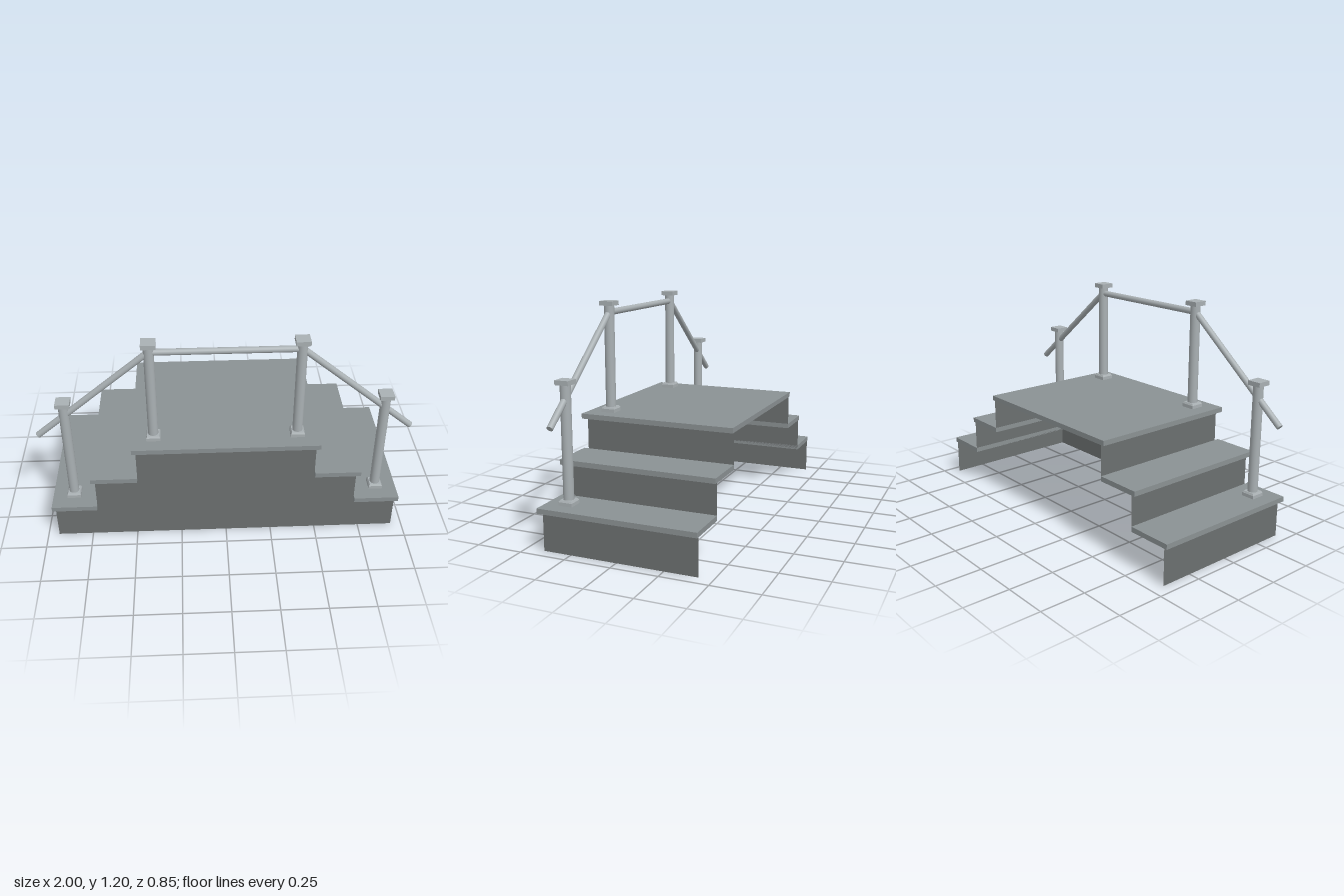
import * as THREE from 'three';

export function createModel() {
  const model = new THREE.Group();
  const mat = (name, color, side = THREE.FrontSide) => {
    const m = new THREE.MeshStandardMaterial({ color, side });
    m.name = name;
    return m;
  };
  const concrete = mat('dark grey panel', 0x6b6f6f, THREE.DoubleSide);
  const treadGrey = mat('grey tread', 0x8a9193);
  const metal = mat('light grey metal', 0xa9b0b3);

  const add = (name, geo, material, x = 0, y = 0, z = 0, parent = model) => {
    const m = new THREE.Mesh(geo, material);
    m.name = name;
    m.position.set(x, y, z);
    parent.add(m);
    return m;
  };

  const front = 0.4, back = -0.426, lip = 0.426, thick = 0.027;
  // each step: riser position, tread outer edge, tread inner edge, tread top
  const steps = [
    { riser: 0.94, outer: 0.956, inner: 0.71, top: 0.222 },
    { riser: 0.71, outer: 0.73, inner: 0.48, top: 0.412 },
    { riser: 0.48, outer: 0.5, inner: 0, top: 0.604 },
  ];

  // stepped front panel, an open sheet
  const right = [];
  let y = 0;
  for (const s of steps) {
    right.push([s.riser, y], [s.riser, s.top - thick]);
    y = s.top - thick;
  }
  const left = right.map(([px, py]) => [-px, py]).reverse();
  const outline = new THREE.Shape([...right, ...left].map(([px, py]) => new THREE.Vector2(px, py)));
  add('frontPanel', new THREE.ShapeGeometry(outline), concrete, 0, 0, front);

  // risers and side treads, mirrored; back and underside stay open
  for (const side of [1, -1]) {
    let base = 0;
    steps.forEach((s, i) => {
      const h = s.top - thick - base;
      const riser = add('riser', new THREE.PlaneGeometry(front - back, h), concrete,
        side * s.riser, base + h / 2, (front + back) / 2);
      riser.rotation.y = side * Math.PI / 2;
      if (i < 2) {
        add('tread', new THREE.BoxGeometry(s.outer - s.inner, thick, lip - back), treadGrey,
          side * (s.outer + s.inner) / 2, s.top - thick / 2, (lip + back) / 2);
      }
      base = s.top - thick;
    });
  }
  add('platform', new THREE.BoxGeometry(1, thick, lip - back), treadGrey,
    0, 0.604 - thick / 2, (lip + back) / 2);

  // square post foot with sloped top edges
  const railZ = 0.311;
  const foot = new THREE.CylinderGeometry(0.045, 0.053, 0.01, 4).toNonIndexed();
  foot.rotateY(Math.PI / 4);
  foot.computeVertexNormals();

  const addPost = (x, bottom, top) => {
    const post = new THREE.Group();
    post.name = 'post';
    post.position.set(x, bottom, railZ);
    const h = top - bottom;
    add('postShaft', new THREE.CylinderGeometry(0.027, 0.027, h - 0.02, 24), metal, 0, h / 2, 0, post);
    add('postCap', new THREE.BoxGeometry(0.075, 0.024, 0.075), metal, 0, h - 0.012, 0, post);
    add('postFoot', new THREE.BoxGeometry(0.075, 0.018, 0.075), metal, 0, 0.009, 0, post);
    add('postFootBevel', foot, metal, 0, 0.023, 0, post);
    model.add(post);
  };

  // straight rail between two points in the railing plane
  const addRail = (name, ax, ay, bx, by) => {
    const len = Math.hypot(bx - ax, by - ay);
    const rail = add(name, new THREE.CylinderGeometry(0.017, 0.017, len, 20), metal,
      (ax + bx) / 2, (ay + by) / 2, railZ);
    rail.rotation.z = Math.atan2(by - ay, bx - ax) - Math.PI / 2;
  };

  for (const side of [1, -1]) {
    addPost(side * 0.384, 0.604, 1.195);
    addPost(side * 0.84, 0.222, 0.852);
    addRail('slopedRail', side * 0.385, 1.137, side * 0.989, 0.64);
  }
  addRail('topRail', -0.384, 1.135, 0.384, 1.135);

  return model;
}
